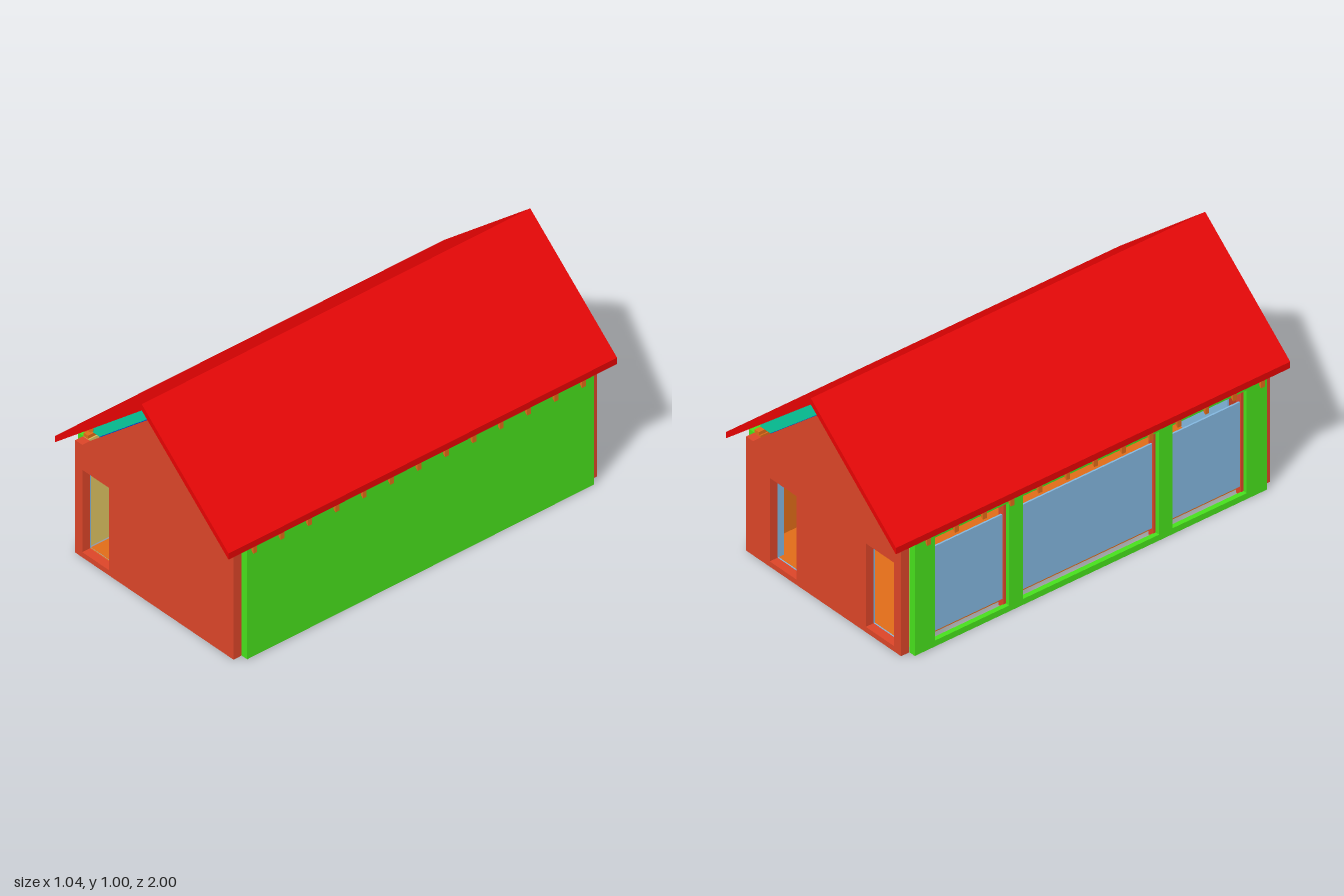
import * as THREE from 'three';

const paint = (name, color) => {
  const m = new THREE.MeshStandardMaterial({ color });
  m.name = name;
  return m;
};

export function createModel() {
  const house = new THREE.Group();
  house.name = 'house';
  const red = paint('roof red', 0xe60202);
  const brick = paint('brick red', 0xdb4528);
  const green = paint('wall green', 0x47e01c);
  const teal = paint('insulation teal', 0x06cd9e);
  const orange = paint('timber orange', 0xe06c18);
  const tan = paint('lining tan', 0xdfc361);
  const glass = paint('glass blue', 0x82b6de);
  const blue = paint('ceiling blue', 0x0040d0);

  const add = (name, geometry, material) => {
    const mesh = new THREE.Mesh(geometry, material);
    mesh.name = name;
    house.add(mesh);
    return mesh;
  };
  // box given by its limits on each axis
  const box = (name, mat, x0, x1, y0, y1, z0, z1) =>
    add(name, new THREE.BoxGeometry(x1 - x0, y1 - y0, z1 - z0), mat)
      .position.set((x0 + x1) / 2, (y0 + y1) / 2, (z0 + z1) / 2);
  // cross-section in x and y, pushed along z, with rectangular openings
  const prism = (name, mat, points, z0, z1, openings = []) => {
    const shape = new THREE.Shape(points.map(([x, y]) => new THREE.Vector2(x, y)));
    for (const [x0, x1, y0, y1] of openings) {
      shape.holes.push(new THREE.Path([[x0, y0], [x0, y1], [x1, y1], [x1, y0]]
        .map(([x, y]) => new THREE.Vector2(x, y))));
    }
    const geometry = new THREE.ExtrudeGeometry(shape, { depth: z1 - z0, bevelEnabled: false });
    add(name, geometry.translate(0, 0, z0), mat);
  };
  // closes a half outline by mirroring it in x
  const mirrored = (half) => [...half, ...half.filter(([x]) => x > 0).reverse().map(([x, y]) => [-x, y])];

  // gable walls with their doorways and inner lining
  const frontDoor = [-0.43, -0.27, 0.025, 0.42];
  const backDoors = [[-0.43, -0.257, 0.025, 0.42], [0.166, 0.328, 0.025, 0.42]];
  const gable = mirrored([[0.472, 0], [0.472, 0.54], [0.43, 0.54], [0, 0.9]]);
  const lining = mirrored([[0.44, 0.012], [0.44, 0.525], [0, 0.893]]);
  prism('frontGable', brick, gable, 0.895, 0.935, [frontDoor]);
  prism('backGable', brick, gable, -0.935, -0.895, backDoors);
  prism('frontLining', glass, lining, 0.889, 0.895, [frontDoor]);
  prism('backLining', glass, lining, -0.895, -0.889, backDoors);
  // inner jambs of the second back doorway
  box('innerJamb', tan, 0.156, 0.166, 0.025, 0.42, -0.895, -0.862);
  box('innerJamb', glass, 0.328, 0.338, 0.025, 0.42, -0.895, -0.862);

  // floor and closed side wall
  box('floor', orange, -0.432, 0.47, 0.004, 0.025, -0.895, 0.895);
  box('leftWall', green, 0.472, 0.505, 0, 0.54, -0.893, 0.893);
  box('leftWallLining', orange, 0.44, 0.472, 0.025, 0.54, -0.889, 0.889);

  // window wall: sill, header, end panels and posts
  box('sill', green, -0.505, -0.483, 0, 0.028, -0.893, 0.893);
  box('header', green, -0.505, -0.472, 0.515, 0.54, -0.893, 0.893);
  for (const s of [-1, 1]) {
    const [a, b] = s > 0 ? [0.79, 0.893] : [-0.893, -0.79];
    box('endPanel', green, -0.505, -0.472, 0, 0.515, a, b);
    box('endPanelLining', tan, -0.472, -0.44, 0.025, 0.54, a, b);
    box('post', green, -0.505, -0.44, 0.015, 0.53, s * 0.38 - 0.035, s * 0.38 + 0.035);
  }

  // glass and slim jambs in each bay
  for (const [a, b] of [[-0.79, -0.415], [-0.345, 0.345], [0.415, 0.79]]) {
    box('windowPane', glass, -0.478, -0.47, 0.05, 0.45, a + 0.012, b - 0.012);
    for (const z of [a, b - 0.012]) box('windowJamb', brick, -0.485, -0.455, 0.01, 0.53, z, z + 0.012);
  }

  // roof covering, insulation and ceiling
  prism('roof', red, mirrored([[0, 0.97], [0.518, 0.535], [0.518, 0.565], [0, 1]]), -1, 1);
  prism('insulation', teal,
    mirrored([[0, 0.9], [0.405, 0.561], [0.465, 0.561], [0.465, 0.58], [0, 0.97]]), -0.868, 0.868);
  prism('ceiling', blue, mirrored([[0, 0.892], [0.405, 0.553], [0.405, 0.562], [0, 0.901]]), -0.868, 0.868);

  // wall plates and rafter tails along both eaves
  const tail = [[0.517, 0.503], [0.517, 0.537], [0.44, 0.601], [0.44, 0.568]];
  for (const s of [-1, 1]) {
    box('wallPlate', orange, s > 0 ? 0.445 : -0.47, s > 0 ? 0.47 : -0.445, 0.54, 0.556, -0.893, 0.893);
    for (let i = 0; i < 13; i++) {
      const z = 0.862 - i * 0.141;
      const outline = tail.map(([x, y]) => [s * x, y]);
      prism('rafterTail', orange, outline, z - 0.01, z + 0.01);
    }
  }
  return house;
}
